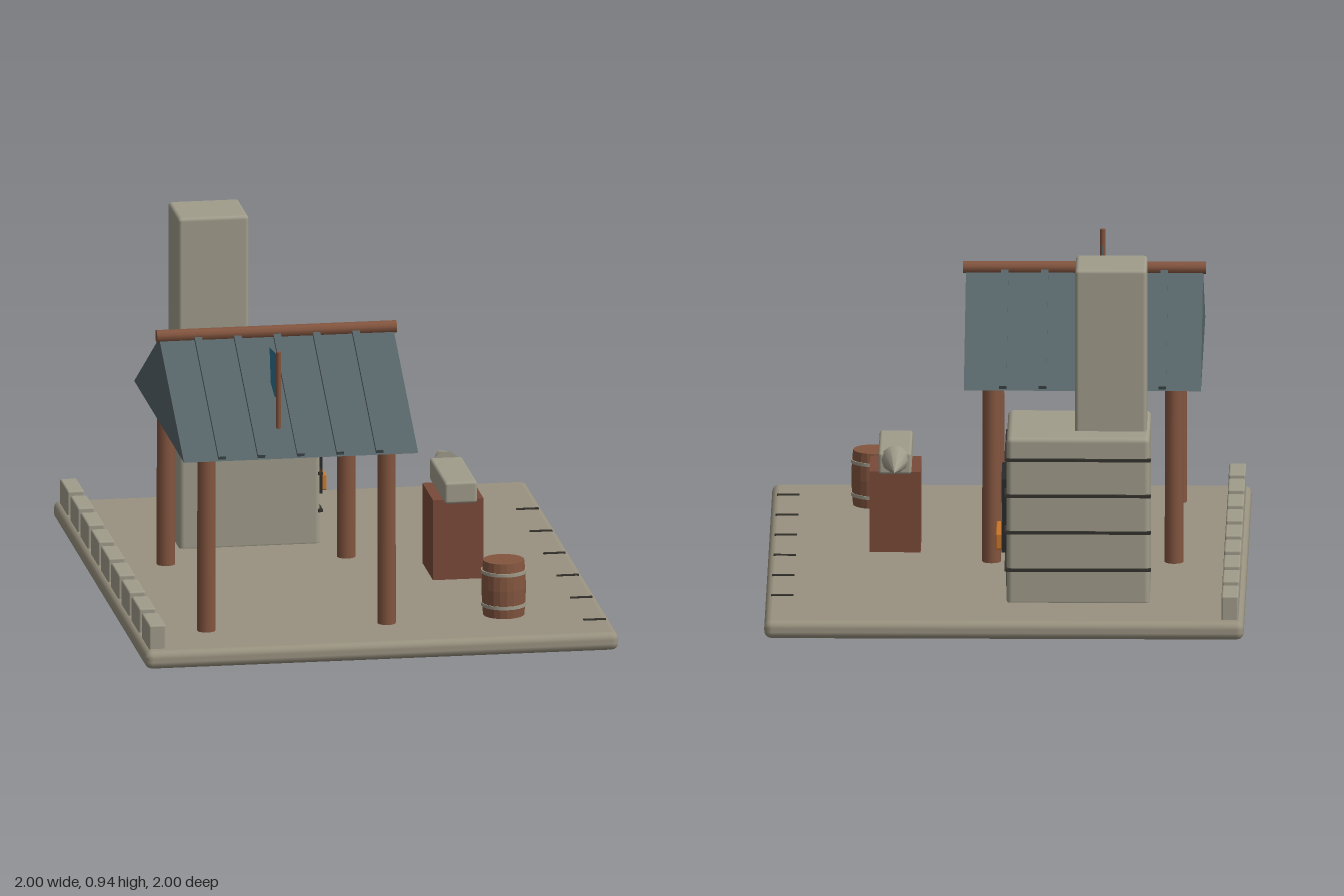
import * as THREE from 'three';
import { RoundedBoxGeometry } from 'three/addons/geometries/RoundedBoxGeometry.js';

function mat(name, color) {
  const m = new THREE.MeshStandardMaterial({ color });
  m.name = name;
  return m;
}

export function createModel() {
  const paving = mat('paving stone', 0x999280);
  const stone = mat('masonry stone', 0xa09c8b);
  const mortar = mat('dark mortar', 0x35322c);
  const slate = mat('slate', 0x566468);
  const wood = mat('timber', 0x83553f);
  const stumpWood = mat('stump wood', 0x7a4a39);
  const soot = mat('soot', 0x2a2a2b);
  const ember = mat('ember', 0xc9762c);
  const cloth = mat('blue cloth', 0x2f7391);
  cloth.side = THREE.DoubleSide;

  const model = new THREE.Group();
  model.name = 'smithy';
  const yard = new THREE.Group();
  yard.name = 'yard';
  yard.rotation.y = Math.PI / 4; // the whole yard stands on the diagonal
  model.add(yard);

  const add = (name, geo, material, x, y, z, parent = yard) => {
    const mesh = new THREE.Mesh(geo, material);
    mesh.name = name;
    mesh.position.set(x, y, z);
    parent.add(mesh);
    return mesh;
  };
  const box = (w, h, d) => new THREE.BoxGeometry(w, h, d);
  const soft = (w, h, d, r) => new RoundedBoxGeometry(w, h, d, 2, r);

  // Ground slab with joints along its edge
  add('groundSlab', soft(1.578, 0.05, 1.274, 0.02), paving, 0, 0.025, 0);
  for (let i = 0; i < 6; i++) {
    add('slabJoint', box(0.01, 0.006, 0.06), mortar, 0.493 - i * 0.228, 0.05, 0.593);
  }

  // Low wall of separate blocks at the back
  for (let i = 0; i < 9; i++) {
    add('wallBlock', soft(0.13, 0.075, 0.045, 0.005), stone, (i - 4) * 0.173, 0.0775, -0.6);
  }

  // Shelter: posts, solid gabled roof, battens and ridge pole
  const shelter = new THREE.Group();
  shelter.name = 'shelter';
  shelter.position.set(-0.247, 0, -0.2);
  yard.add(shelter);
  for (const sx of [-1, 1]) {
    for (const sz of [-1, 1]) {
      add('post', new THREE.CylinderGeometry(0.024, 0.025, 0.52, 12), wood, sx * 0.3425, 0.3, sz * 0.2425, shelter);
    }
  }
  const half = 0.422, eave = 0.535, peak = 0.765, depth = 0.63;
  const gable = new THREE.Shape([
    new THREE.Vector2(-half, eave), new THREE.Vector2(half, eave), new THREE.Vector2(0, peak),
  ]);
  add('roof', new THREE.ExtrudeGeometry(gable, { depth, bevelEnabled: false }), slate, 0, 0, -depth / 2, shelter);
  const pitch = Math.atan2(peak - eave, half);
  const slope = Math.hypot(half, peak - eave);
  for (const side of [-1, 1]) {
    for (let i = -2; i <= 2; i++) {
      const batten = add('roofBatten', box(slope - 0.01, 0.016, 0.02), slate,
        side * half / 2, (eave + peak) / 2 + 0.003, i * 0.106, shelter);
      batten.rotation.z = -side * pitch;
    }
  }
  const ridge = add('ridgePole', new THREE.CylinderGeometry(0.017, 0.017, 0.645, 10), wood, 0, 0.771, 0, shelter);
  ridge.rotation.x = Math.PI / 2;

  // Pennant on the roof
  add('flagPole', new THREE.CylinderGeometry(0.007, 0.007, 0.27, 8), wood, -0.562, 0.665, -0.244);
  const pennant = new THREE.Shape([
    new THREE.Vector2(0, -0.12), new THREE.Vector2(0.07, -0.125), new THREE.Vector2(0.132, -0.105),
    new THREE.Vector2(0.152, -0.012), new THREE.Vector2(0.07, -0.004), new THREE.Vector2(0, 0),
  ]);
  add('flag', new THREE.ShapeGeometry(pennant), cloth, -0.562, 0.785, -0.244);

  // Furnace and chimney
  const furnace = new THREE.Group();
  furnace.name = 'furnace';
  furnace.position.set(0.402, 0, -0.194);
  yard.add(furnace);
  const fw = 0.33, fd = 0.38;
  add('furnaceBody', soft(fw, 0.46, fd, 0.014), stone, 0, 0.27, 0, furnace);
  add('chimney', soft(0.178, 0.46, 0.19, 0.01), stone, -0.004, 0.71, -0.086, furnace);
  // Courses on the front and the outer side
  for (const y of [0.14, 0.242, 0.342, 0.44]) {
    add('frontCourse', box(fw + 0.006, 0.008, 0.012), mortar, 0, y, fd / 2, furnace);
    add('sideCourse', box(0.012, 0.008, fd + 0.006), mortar, fw / 2, y, 0, furnace);
  }
  for (const [x, y] of [[0.035, 0.391], [-0.03, 0.095]]) {
    add('frontJoint', box(0.006, 0.098, 0.008), mortar, x, y, fd / 2, furnace);
  }
  // Fire opening
  add('fireOpening', box(0.2, 0.2, 0.03), soot, -0.005, 0.27, fd / 2, furnace);
  add('embers', soft(0.145, 0.045, 0.05, 0.005), ember, -0.005, 0.193, fd / 2 + 0.006, furnace);

  // Anvil on a stump
  const anvil = new THREE.Group();
  anvil.name = 'anvil';
  anvil.position.set(-0.092, 0, 0.3);
  yard.add(anvil);
  add('stump', box(0.18, 0.22, 0.136), stumpWood, 0, 0.16, 0, anvil);
  add('anvilBlock', soft(0.262, 0.06, 0.088, 0.008), stone, -0.007, 0.3, 0, anvil);
  const horn = add('anvilHorn', new THREE.ConeGeometry(0.038, 0.155, 10), stone, 0.192, 0.31, 0, anvil);
  horn.rotation.z = -Math.PI / 2;

  // Barrel with two hoops
  const barrel = new THREE.Group();
  barrel.name = 'barrel';
  barrel.position.set(-0.548, 0, 0.364);
  yard.add(barrel);
  const stave = [[0, 0.045], [0.055, 0.045], [0.058, 0.08], [0.06, 0.125], [0.058, 0.17], [0.055, 0.2], [0, 0.2]];
  const barrelGeo = new THREE.LatheGeometry(stave.map(([r, y]) => new THREE.Vector2(r, y)), 20).toNonIndexed();
  barrelGeo.computeVertexNormals();
  add('barrelBody', barrelGeo, wood, 0, 0, 0, barrel);
  for (const y of [0.08, 0.17]) {
    add('barrelHoop', new THREE.CylinderGeometry(0.061, 0.061, 0.009, 20), stone, 0, y, 0, barrel);
  }
  return model;
}
